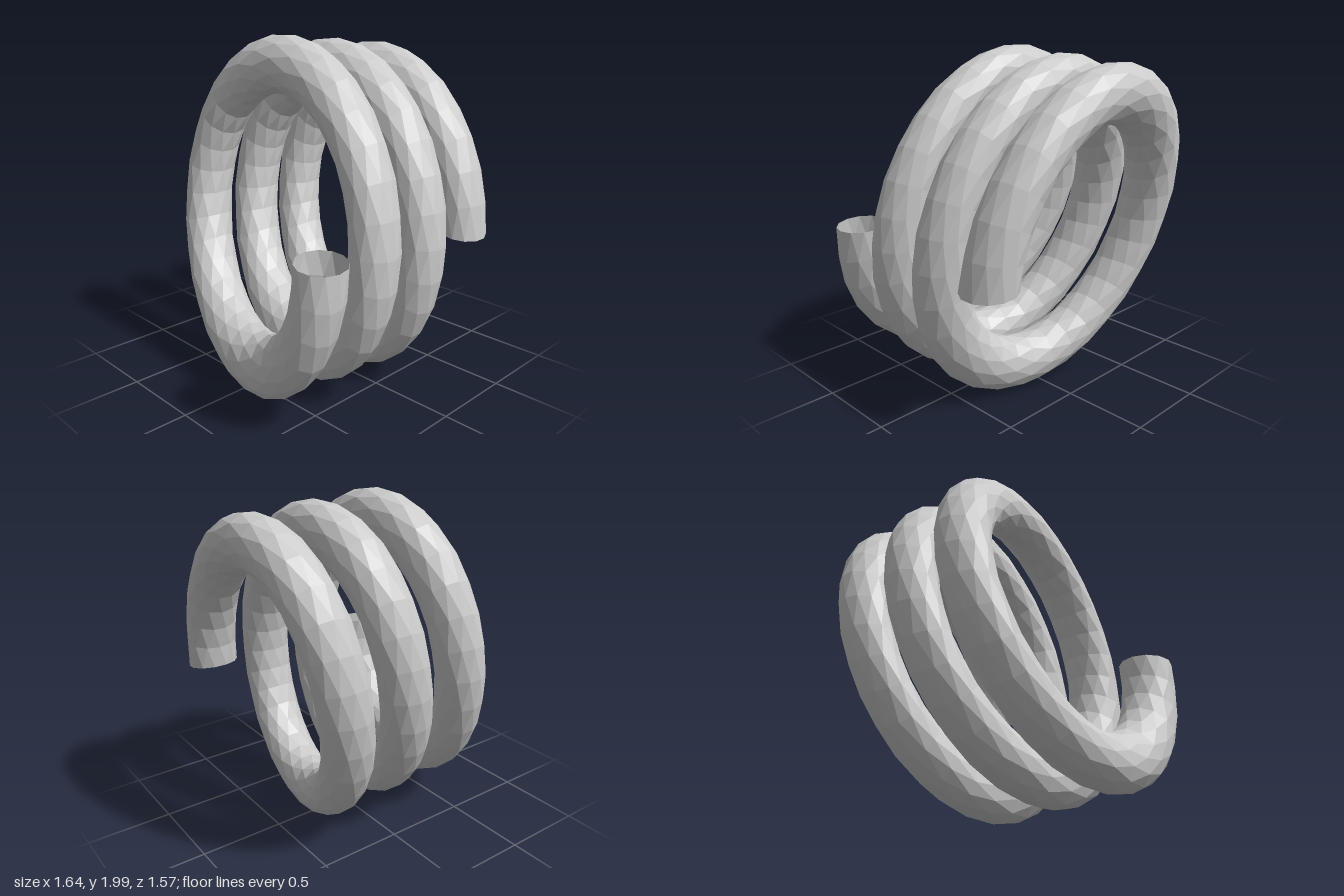
import * as THREE from 'three';

const TURNS = 3, RINGS = 93, SIDES = 12;
const TUBE = 0.204;      // tube radius relative to a coil of radius 1
const DEPTH = 0.157;     // tube half-width along the coil axis
const PITCH = 0.382;

// Skewed, elliptical coil: a round helix leaned and flattened as a whole.
function coilPoint(t, phi) {
  const a = -2 * Math.PI * t;
  const r = 1 + TUBE * Math.cos(phi);
  const c = r * Math.cos(a), s = r * Math.sin(a);
  return new THREE.Vector3(
    0.672 * c + 0.01 * (t - 1.5),
    1 + 0.8 * s - 0.138 * c - 0.03 * (t - 1.5),
    -PITCH * (t - 1.5) + 0.08 * c - 0.111 * s + DEPTH * Math.sin(phi)
  );
}

export function createModel() {
  const group = new THREE.Group();
  group.name = 'coilSpring';

  // Roll a flat strip into an open tube along the coil, each ring offset half a facet
  const geo = new THREE.PlaneGeometry(1, 1, RINGS, SIDES);
  const pos = geo.attributes.position;
  for (let k = 0; k < pos.count; k++) {
    const i = k % (RINGS + 1), j = Math.floor(k / (RINGS + 1));
    const phi = (2 * Math.PI * (j + i / 2)) / SIDES;
    const p = coilPoint((TURNS * i) / RINGS - 0.01, phi);
    pos.setXYZ(k, p.x, p.y, p.z);
  }
  geo.computeVertexNormals();

  const coil = new THREE.Mesh(geo, new THREE.MeshStandardMaterial({
    color: 0xcccccc, flatShading: true, side: THREE.DoubleSide,
  }));
  coil.name = 'coilTube';
  group.add(coil);

  // Stand on the ground, centred
  const box = new THREE.Box3().setFromObject(coil, true);
  const mid = box.getCenter(new THREE.Vector3());
  coil.position.set(-mid.x, -box.min.y, -mid.z);
  return group;
}
